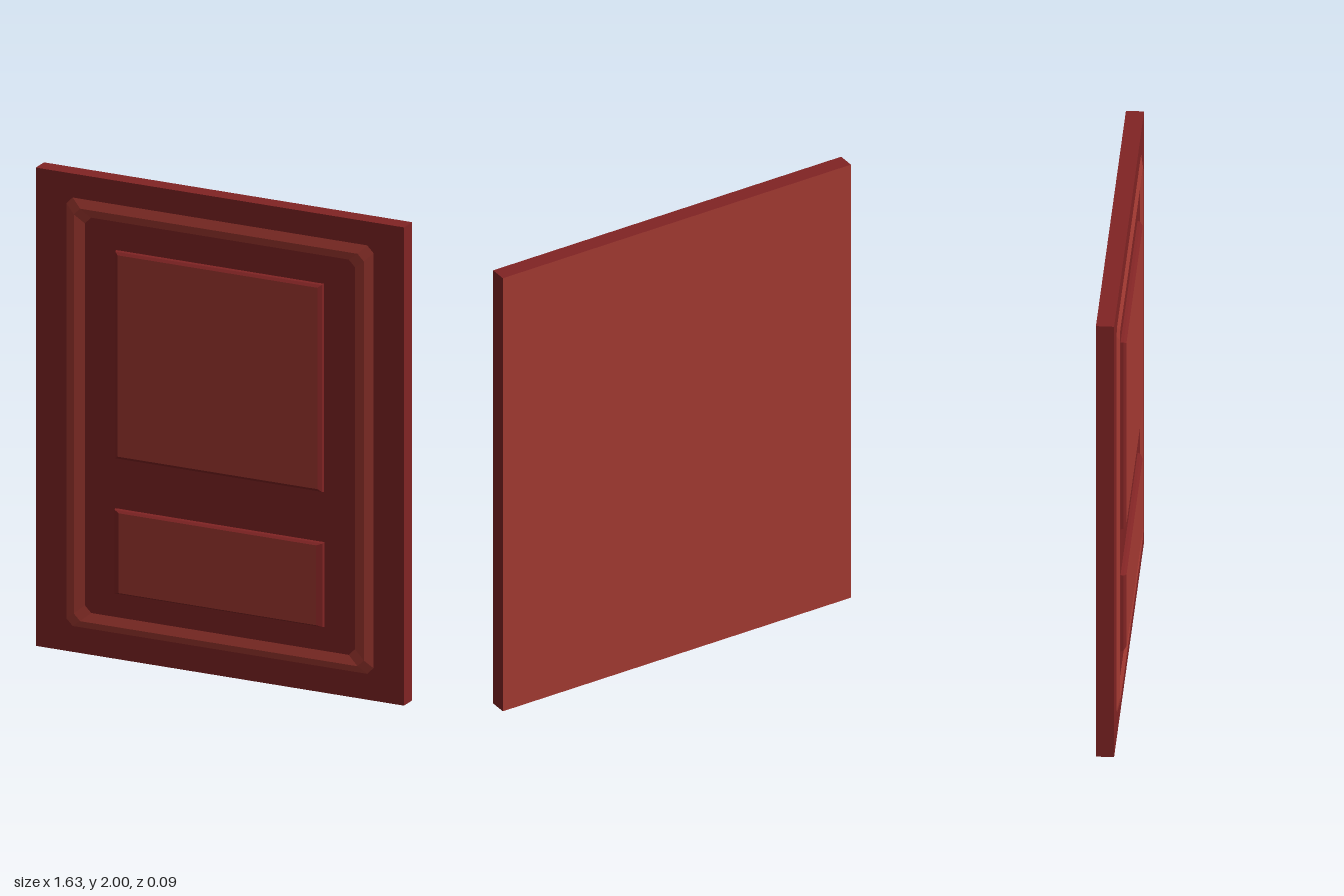
import * as THREE from 'three';

const light = new THREE.MeshStandardMaterial({ color: 0xa53a32 });
light.name = 'brick red';
const dark = new THREE.MeshStandardMaterial({ color: 0x812424 });
dark.name = 'dark red';

const SLAB_FRONT = 0.025;
const BACK = -0.047;

// Counter-clockwise rectangle with cut corners, at depth z
function loop(halfW, y0, y1, cut, z) {
  const c = cut;
  return [
    [halfW - c, y0], [halfW, y0 + c], [halfW, y1 - c], [halfW - c, y1],
    [-halfW + c, y1], [-halfW, y1 - c], [-halfW, y0 + c], [-halfW + c, y0],
  ].map(([x, y]) => new THREE.Vector3(x, y, z));
}

// Flat faceted bands joining each loop to the next, running outside to inside
function bands(name, loops, material) {
  const points = [];
  for (let k = 0; k < loops.length - 1; k++) {
    const a = loops[k], b = loops[k + 1];
    for (let i = 0; i < a.length; i++) {
      const j = (i + 1) % a.length;
      points.push(a[i], a[j], b[j], a[i], b[j], b[i]);
    }
  }
  const geometry = new THREE.BufferGeometry().setFromPoints(points);
  geometry.computeVertexNormals();
  const mesh = new THREE.Mesh(geometry, material);
  mesh.name = name;
  return mesh;
}

// Raised panel: dark sloping rim around a lighter face
function raisedPanel(name, outer, inner) {
  const group = new THREE.Group();
  group.name = name;
  const [ow, oy0, oy1] = outer, [iw, iy0, iy1] = inner;
  const top = 0.047;
  group.add(bands(name + 'Rim', [
    loop(ow, oy0, oy1, 0, SLAB_FRONT),
    loop(ow - 0.003, oy0 + 0.003, oy1 - 0.003, 0, 0.037),
    loop(iw, iy0, iy1, 0, top),
  ], dark));
  const face = new THREE.Mesh(new THREE.PlaneGeometry(iw * 2, iy1 - iy0), light);
  face.name = name + 'Face';
  face.position.set(0, (iy0 + iy1) / 2, top);
  group.add(face);
  return group;
}

export function createModel() {
  const model = new THREE.Group();
  model.name = 'panelDoor';

  // Door slab, with a lighter back
  const depth = SLAB_FRONT - BACK;
  const slab = new THREE.Mesh(
    new THREE.BoxGeometry(1.63, 2, depth),
    [dark, dark, dark, dark, dark, light],
  );
  slab.name = 'slab';
  slab.position.set(0, 1, (SLAB_FRONT + BACK) / 2);
  model.add(slab);

  // Ridged moulding with clipped corners
  model.add(bands('moulding', [
    loop(0.68, 0.108, 1.9, 0.028, SLAB_FRONT),
    loop(0.642, 0.137, 1.862, 0.028, 0.035),
    loop(0.598, 0.175, 1.828, 0.028, SLAB_FRONT),
  ], light));

  // Raised panels
  model.add(raisedPanel('upperPanel', [0.46, 0.84, 1.71], [0.442, 0.855, 1.697]));
  model.add(raisedPanel('lowerPanel', [0.463, 0.275, 0.63], [0.437, 0.285, 0.619]));

  return model;
}
